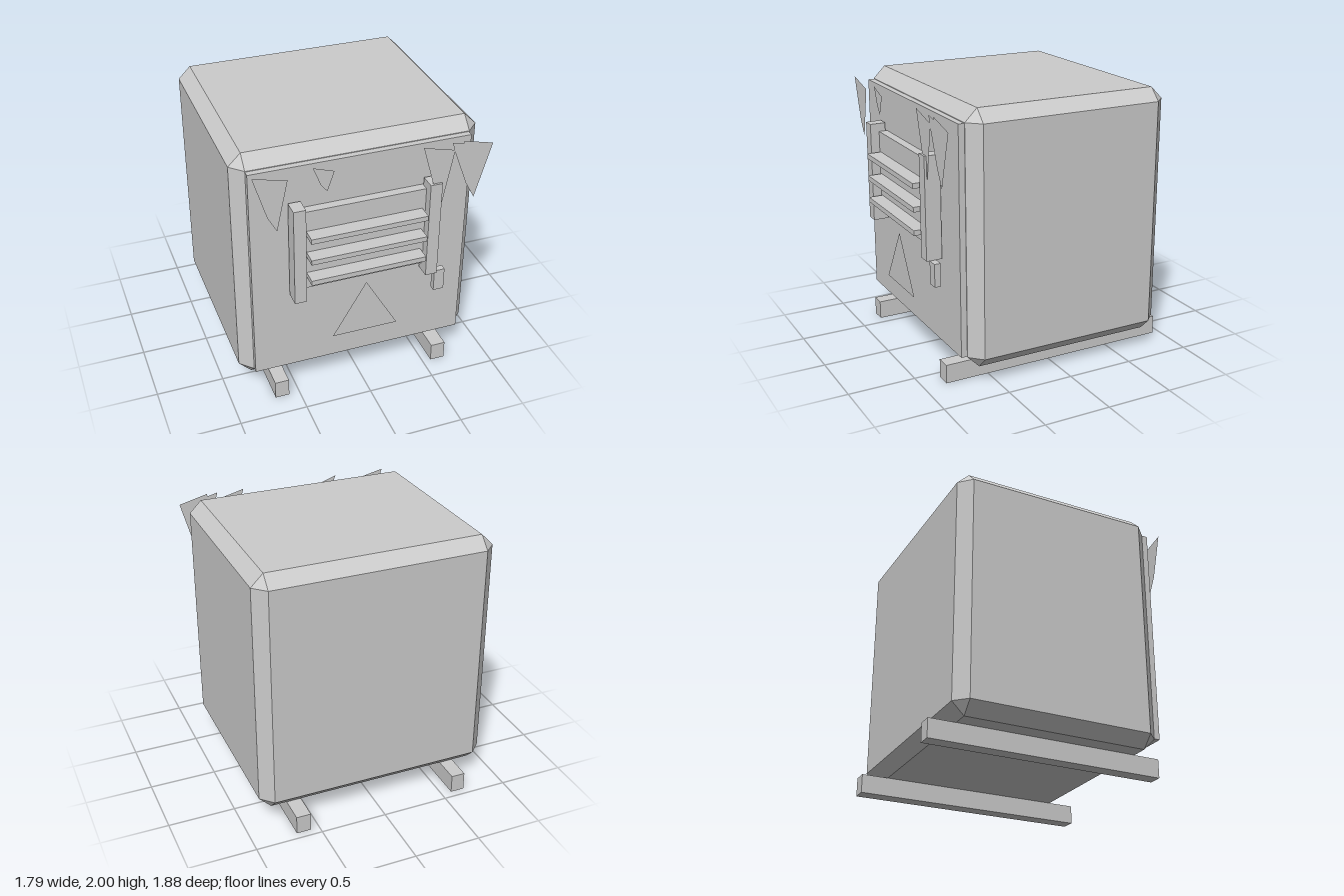
import * as THREE from 'three';
import { ConvexGeometry } from 'three/addons/geometries/ConvexGeometry.js';

const material = new THREE.MeshStandardMaterial({ color: 0xcccccc, flatShading: true });
const thinMaterial = new THREE.MeshStandardMaterial({ color: 0xcccccc, flatShading: true, side: THREE.DoubleSide });

// Box given by its lower and upper corners
function box(name, [x0, y0, z0], [x1, y1, z1]) {
  const mesh = new THREE.Mesh(new THREE.BoxGeometry(x1 - x0, y1 - y0, z1 - z0), material);
  mesh.position.set((x0 + x1) / 2, (y0 + y1) / 2, (z0 + z1) / 2);
  mesh.name = name;
  return mesh;
}

// Box with every edge bevelled: each corner becomes a small triangle
function chamferBox(name, lo, hi, c) {
  const points = [];
  for (let corner = 0; corner < 8; corner++) {
    for (let outer = 0; outer < 3; outer++) {
      const p = [0, 1, 2].map((a) => {
        const inset = a === outer ? 0 : c;
        return corner & (1 << a) ? hi[a] - inset : lo[a] + inset;
      });
      points.push(new THREE.Vector3(...p));
    }
  }
  const mesh = new THREE.Mesh(new ConvexGeometry(points), material);
  mesh.name = name;
  return mesh;
}

// Flat cut-out facing the front
function plate(name, outline, z) {
  const shape = new THREE.Shape(outline.map(([x, y]) => new THREE.Vector2(x, y)));
  const mesh = new THREE.Mesh(new THREE.ShapeGeometry(shape), thinMaterial);
  mesh.position.z = z;
  mesh.name = name;
  return mesh;
}

export function createModel() {
  const model = new THREE.Group();
  model.name = 'cabinet';

  // Cabinet and door
  model.add(chamferBox('body', [-0.9, 0.14, -0.835], [0.885, 2, 0.72], 0.09));
  model.add(box('door', [-0.81, 0.235, 0.7], [0.79, 1.905, 0.765]));

  // Skids running under the body
  model.add(box('rightSkid', [-0.685, 0, -0.945], [-0.58, 0.14, 0.83]));
  model.add(box('leftSkid', [0.565, 0, -0.945], [0.675, 0.14, 0.83]));

  // Vent: back panel, two posts, three slats
  const vent = new THREE.Group();
  vent.name = 'vent';
  vent.add(box('ventPanel', [-0.46, 0.953, 0.76], [0.445, 1.58, 0.83]));
  vent.add(box('rightPost', [-0.543, 0.887, 0.78], [-0.455, 1.642, 0.897]));
  vent.add(box('leftPost', [0.442, 0.887, 0.78], [0.53, 1.642, 0.897]));
  for (const y of [1.407, 1.236, 1.065]) {
    vent.add(box('slat', [-0.433, y - 0.019, 0.825], [0.418, y + 0.019, 0.938]));
  }
  model.add(vent);

  // Small latch below the left post
  model.add(box('latch', [0.525, 0.715, 0.825], [0.605, 0.887, 0.872]));

  // Warning triangle
  model.add(plate('warningTriangle', [[-0.255, 0.5], [0.24, 0.5], [-0.005, 0.925]], 0.875));

  // Icicles hanging along the top of the front
  const icicles = [
    [[-0.81, 1.94], [-0.715, 1.625], [-0.65, 1.505], [-0.57, 1.885]],
    [[-0.4, 1.94], [-0.345, 1.8], [-0.3, 1.745], [-0.25, 1.89]],
    [[0.38, 1.94], [0.47, 1.625], [0.54, 1.48], [0.615, 1.88]],
    [[0.59, 1.94], [0.61, 1.87], [0.71, 1.605], [0.78, 1.475], [0.895, 1.885], [0.675, 1.94], [0.67, 1.92]],
  ];
  icicles.forEach((outline, i) => model.add(plate('icicle', outline, 0.875 + i * 0.003)));

  return model;
}
